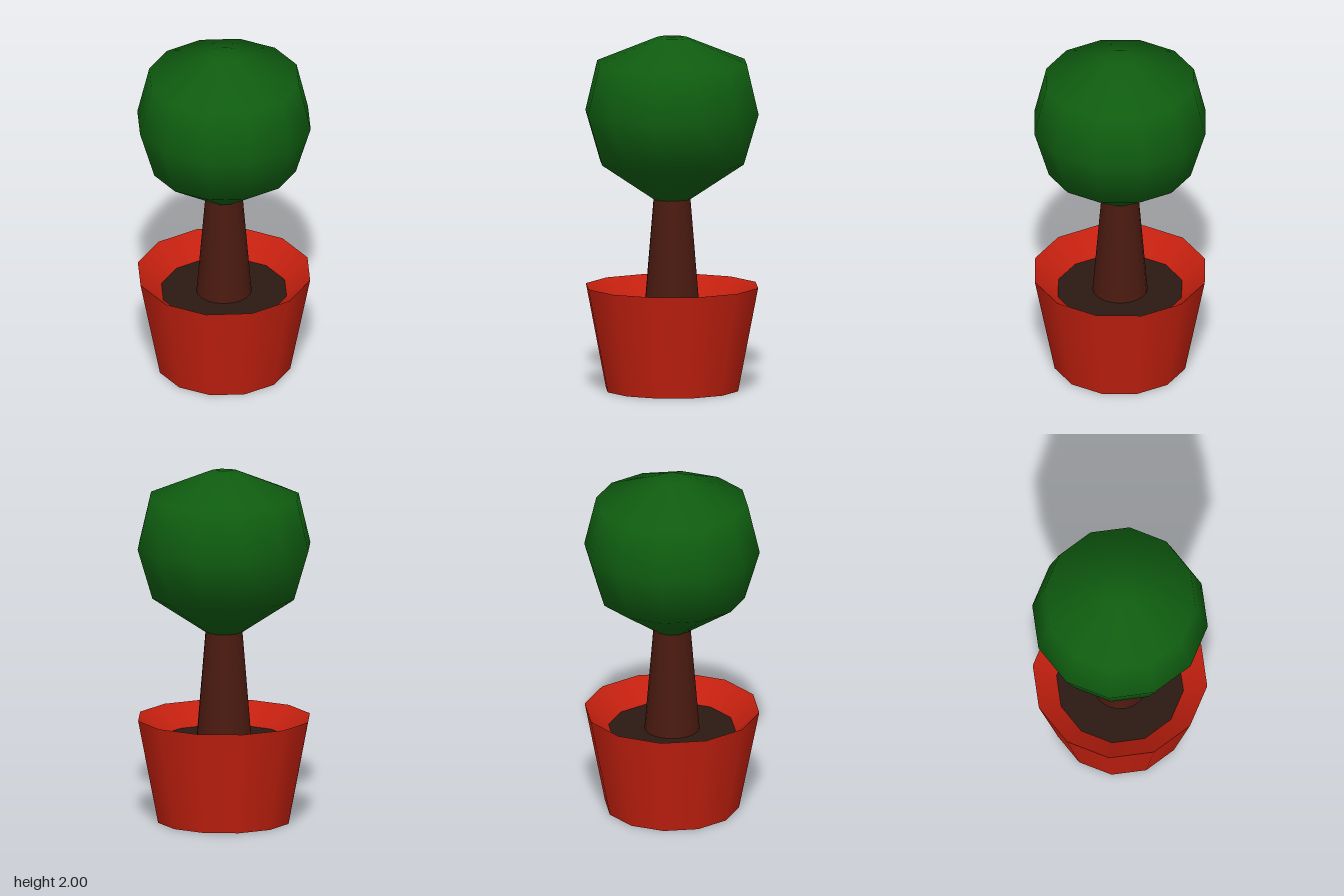
import * as THREE from 'three';

const SIDES = 12;

// Turned surface from [radius, height] pairs; upward profiles face out, downward ones face in
function turned(name, profile, color, sides = SIDES) {
  const points = profile.map(([r, y]) => new THREE.Vector2(r, y));
  const mesh = new THREE.Mesh(
    new THREE.LatheGeometry(points, sides),
    new THREE.MeshStandardMaterial({ color })
  );
  mesh.name = name;
  return mesh;
}

export function createModel() {
  const red = 0xc4200f, soil = 0x2a1912, bark = 0x4a1a10, green = 0x0f5c10;
  const model = new THREE.Group();
  model.name = 'pottedTree';

  // Pot: separate walls keep the rim and base edges sharp
  const pot = new THREE.Group();
  pot.name = 'pot';
  pot.add(
    turned('potBase', [[0, 0], [0.38, 0]], red),
    turned('potOuterWall', [[0.38, 0], [0.495, 0.59]], red),
    turned('potInnerWall', [[0.495, 0.59], [0.36, 0.47]], red)
  );

  model.add(
    pot,
    turned('soil', [[0.36, 0.47], [0, 0.47]], soil),
    // Tapered trunk, running slightly into the crown
    turned('trunk', [[0.155, 0.47], [0.104, 1.09]], bark, 20),
    // Rounded crown with a small flat top
    turned('crown', [
      [0, 1.08], [0.1, 1.08], [0.413, 1.29], [0.498, 1.575],
      [0.43, 1.86], [0.09, 2], [0, 2],
    ], green)
  );
  return model;
}
